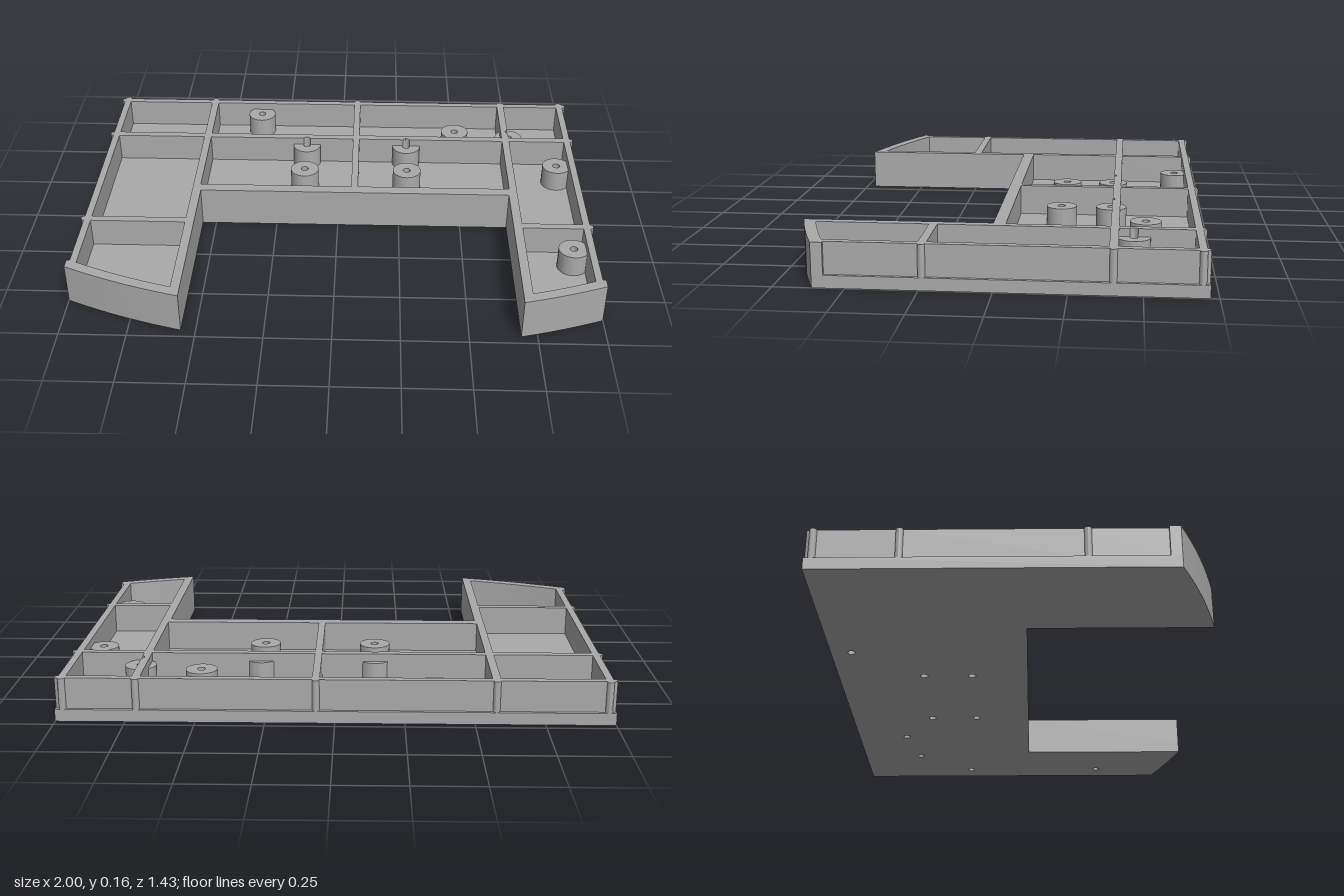
import * as THREE from 'three';
import { toCreasedNormals } from 'three/addons/utils/BufferGeometryUtils.js';

const HEIGHT = 0.16, FLOOR = 0.045, BOSS_TOP = 0.13;
const HOLE_R = 0.015, BOSS_R = 0.058, RIB_R = 0.013;
// shapes are drawn in plan as (x, -z)
const ARC = { x: 0.0675, y: 1.715, r: 2.508 };
const OUT_X = 0.987, OUT_BACK = 0.707;

// screw bosses as [x, -z]
const BOSSES = [
  [-0.36, 0.64], [-0.145, 0.38], [0.283, 0.38], [-0.145, 0.19], [0.283, 0.19],
  [0.497, 0.51], [0.73, 0.467], [0.914, 0.243], [0.914, -0.345],
];

// curved front edge from x0 to x1, inset by d
function frontArc(path, x0, x1, d = 0) {
  const r = ARC.r - d;
  const angle = (x) => -Math.acos((x - ARC.x) / r);
  path.absarc(ARC.x, ARC.y, r, angle(x0), angle(x1), false);
}

// U-shaped front half of the outline, from left leg to right leg
function startOutline() {
  const s = new THREE.Shape();
  frontArc(s, -1, -0.555);
  s.lineTo(-0.555, -0.03);
  s.lineTo(0.69, -0.03);
  frontArc(s, 0.69, 1);
  return s;
}

function roundHole(x, y) {
  return new THREE.Path().absarc(x, y, HOLE_R, 0, Math.PI * 2, true);
}

// pocket between the ribs; y0 = null follows the curved front
function pocket(x0, x1, y0, y1, notch) {
  const p = new THREE.Path();
  if (y0 === null) frontArc(p, x0, x1, 0.042);
  else { p.moveTo(x0, y0); p.lineTo(x1, y0); }
  p.lineTo(x1, y1);
  // screw hole biting into the back or left rib
  const bite = Math.asin(0.005 / HOLE_R);
  if (notch && notch.side === 'back') p.absarc(notch.x, notch.y, HOLE_R, bite, Math.PI - bite, false);
  p.lineTo(x0, y1);
  if (notch && notch.side === 'left') {
    p.absarc(notch.x, notch.y, HOLE_R, Math.PI / 2 + bite, 1.5 * Math.PI - bite, false);
  }
  p.closePath();
  return p;
}

function slab(name, shape, y0, y1, material) {
  const flat = new THREE.ExtrudeGeometry(shape, { depth: y1 - y0, bevelEnabled: false, curveSegments: 20 });
  flat.rotateX(-Math.PI / 2).translate(0, y0, 0);
  const mesh = new THREE.Mesh(toCreasedNormals(flat, 0.5), material);
  mesh.name = name;
  return mesh;
}

export function createModel() {
  const group = new THREE.Group();
  group.name = 'ribbedTray';
  const grey = new THREE.MeshStandardMaterial({ color: 0xaaaaaa });
  grey.name = 'grey';

  // floor plate with through holes
  const floor = startOutline();
  floor.lineTo(1, 0.72);
  floor.lineTo(-1, 0.72);
  floor.closePath();
  for (const [x, y] of BOSSES) floor.holes.push(roundHole(x, y));
  group.add(slab('floorPlate', floor, 0, FLOOR, grey));

  // walls set in from the plate edge, with rounded rib ends standing out
  const walls = startOutline();
  const H = Math.PI / 2, sideRibs = [-0.24, 0.4, 0.694];
  walls.lineTo(1, -0.573);
  walls.lineTo(OUT_X, -0.573);
  for (const y of sideRibs) walls.absarc(OUT_X, y, RIB_R, -H, H, false);
  walls.lineTo(OUT_X, OUT_BACK);
  for (const x of [0.973, 0.71, 0.0675, -0.575, -0.973]) walls.absarc(x, OUT_BACK, RIB_R, 0, Math.PI, false);
  walls.lineTo(-OUT_X, OUT_BACK);
  for (const y of [...sideRibs].reverse()) walls.absarc(-OUT_X, y, RIB_R, H, 3 * H, false);
  walls.lineTo(-OUT_X, -0.515);
  walls.lineTo(-1, -0.515);
  walls.closePath();

  // four columns of pockets
  const columns = [[-0.96, -0.59], [-0.56, 0.054], [0.081, 0.695], [0.725, 0.96]];
  columns.forEach(([x0, x1], i) => {
    const leg = i === 0 || i === 3;
    walls.holes.push(pocket(x0, x1, 0.415, 0.68, i === 3 && { side: 'left', x: 0.73, y: 0.467 }));
    walls.holes.push(pocket(x0, x1, leg ? -0.225 : 0.015, 0.385,
      !leg && { side: 'back', x: i === 1 ? -0.145 : 0.283, y: 0.38 }));
    if (leg) walls.holes.push(pocket(x0, x1, null, -0.255));
  });
  group.add(slab('ribbedWalls', walls, FLOOR, HEIGHT, grey));

  // screw bosses
  for (const [x, y] of BOSSES) {
    const ring = new THREE.Shape().absarc(x, y, BOSS_R, 0, Math.PI * 2, false);
    ring.holes.push(roundHole(x, y));
    group.add(slab('screwBoss', ring, FLOOR, BOSS_TOP, grey));
  }
  return group;
}
